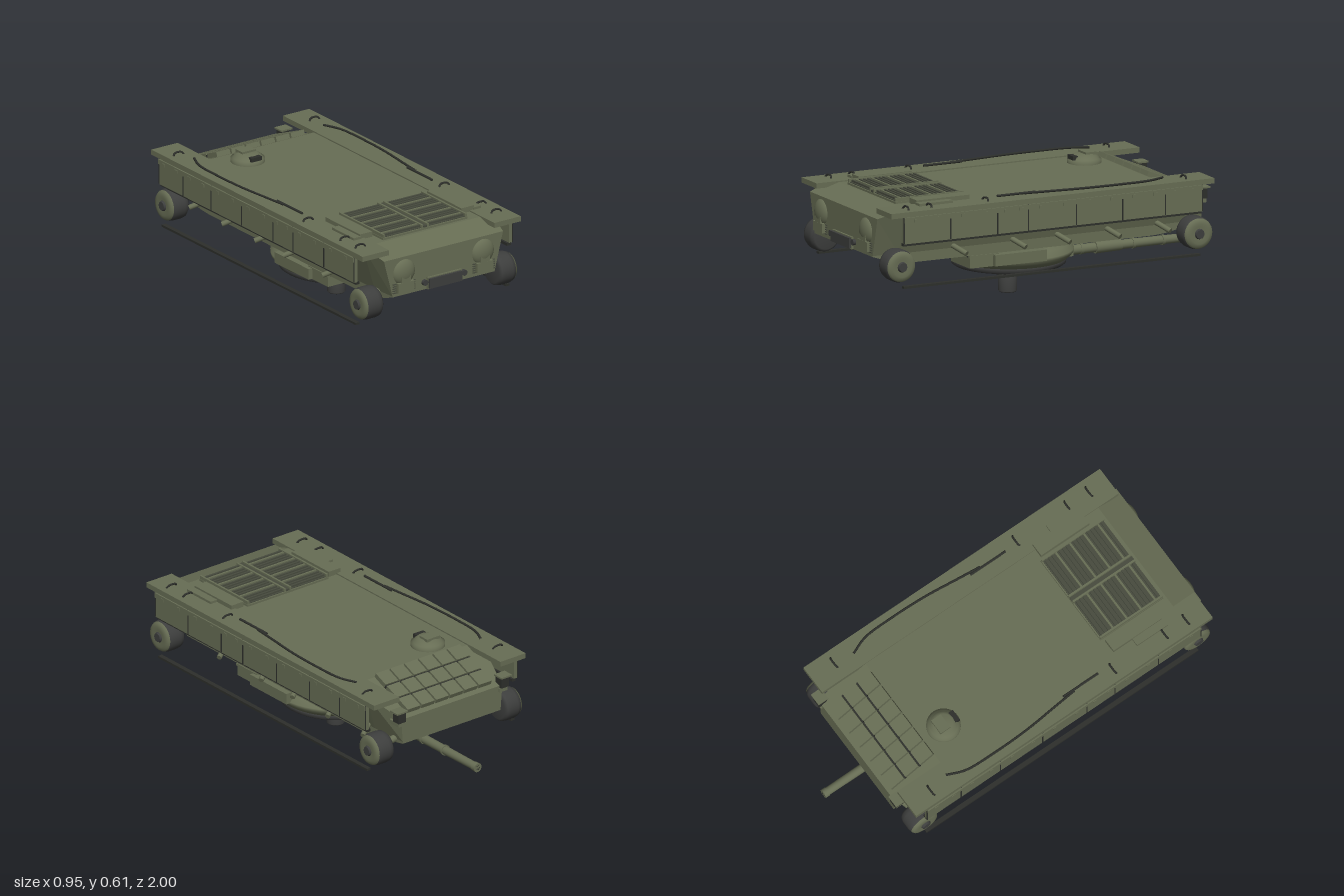
import * as THREE from 'three';

const mat = (name, color, side = THREE.FrontSide) => {
  const m = new THREE.MeshStandardMaterial({ color, side });
  m.name = name;
  return m;
};

export function createModel() {
  const olive = mat('olive paint', 0x676d54);
  const rubber = mat('dark rubber', 0x3d3e3d);
  const black = mat('blackened steel', 0x2d2f2b);
  const grey = mat('grille steel', 0x474b3e);
  const root = new THREE.Group();
  root.name = 'armouredVehicle';

  const add = (name, geo, m, x = 0, y = 0, z = 0, parent = root) => {
    const mesh = new THREE.Mesh(geo, m);
    mesh.name = name;
    mesh.position.set(x, y, z);
    parent.add(mesh);
    return mesh;
  };
  // Box given by its limits on each axis
  const box = (name, m, x0, x1, y0, y1, z0, z1, parent = root) =>
    add(name, new THREE.BoxGeometry(Math.abs(x1 - x0), y1 - y0, z1 - z0), m,
      (x0 + x1) / 2, (y0 + y1) / 2, (z0 + z1) / 2, parent);
  const rod = (name, m, a, b, r0, r1 = r0, n = 16) => {
    const p = new THREE.Vector3(...a), d = new THREE.Vector3(...b).sub(p);
    const mesh = add(name, new THREE.CylinderGeometry(r1, r0, d.length(), n), m);
    mesh.position.copy(p).addScaledVector(d, 0.5);
    mesh.quaternion.setFromUnitVectors(new THREE.Vector3(0, 1, 0), d.normalize());
    return mesh;
  };
  const tube = (name, m, pts, r, n = 24) => add(name, new THREE.TubeGeometry(
    new THREE.CatmullRomCurve3(pts.map(p => new THREE.Vector3(...p))), n, r, 6), m);
  const lathe = (pts, n = 48) => new THREE.LatheGeometry(pts.map(p => new THREE.Vector2(...p)), n);

  // Hull: z, then half width and height of the top, knee and bottom edges
  const stations = [
    [0.975, 0.35, 0.51, 0.30, 0.32, 0.30, 0.315],
    [0.84, 0.38, 0.55, 0.31, 0.32, 0.31, 0.27],
    [-0.53, 0.38, 0.55, 0.31, 0.32, 0.31, 0.27],
    [-0.60, 0.37, 0.52, 0.31, 0.32, 0.31, 0.275],
    [-0.80, 0.31, 0.44, 0.30, 0.32, 0.30, 0.31],
  ].map(([z, wt, yt, wm, ym, wb, yb]) => [
    [wt, yt, z], [-wt, yt, z], [-wm, ym, z], [-wb, yb, z], [wb, yb, z], [wm, ym, z]]);
  const v = [];
  for (let i = 0; i < stations.length - 1; i++) {
    for (let j = 0; j < 6; j++) {
      const k = (j + 1) % 6, s = stations[i], t = stations[i + 1];
      v.push(...s[j], ...t[j], ...s[k], ...s[k], ...t[j], ...t[k]);
    }
  }
  const first = stations[0], last = stations[stations.length - 1];
  for (let j = 1; j < 5; j++) {
    v.push(...first[0], ...first[j], ...first[j + 1]);
    v.push(...last[0], ...last[j + 1], ...last[j]);
  }
  const hullGeo = new THREE.BufferGeometry();
  hullGeo.setAttribute('position', new THREE.Float32BufferAttribute(v, 3));
  hullGeo.computeVertexNormals();
  add('hull', hullGeo, olive);

  // Front plate fittings
  box('frontPanel', rubber, -0.095, 0.095, 0.32, 0.37, 0.97, 0.997);
  box('frontPanelFrame', olive, -0.1, 0.1, 0.315, 0.375, 0.97, 0.985);

  // Rear glacis tiles, laid on the slope
  const glacis = new THREE.Group();
  glacis.name = 'glacisTiles';
  glacis.position.set(0, 0.505, -0.655);
  glacis.rotation.x = -Math.atan2(0.11, 0.27);
  root.add(glacis);
  for (let i = 0; i < 6; i++) {
    for (let j = 0; j < 3; j++) {
      const x = (i - 2.5) * 0.0875, z = (j - 1) * 0.092;
      box('tile', olive, x - 0.039, x + 0.039, -0.004, 0.02, z - 0.041, z + 0.041, glacis);
    }
  }
  for (const z of [-0.046, 0.046]) box('tileRail', black, -0.26, 0.26, 0, 0.014, z - 0.004, z + 0.004, glacis);

  // Engine grilles
  box('grilleFrame', olive, -0.248, 0.248, 0.54, 0.56, 0.455, 0.825);
  for (const s of [-1, 1]) {
    box('grilleBed', grey, s * 0.015, s * 0.242, 0.55, 0.564, 0.462, 0.818);
    for (let i = 0; i < 17; i++) {
      const z = 0.474 + i * 0.0207;
      box('slat', i % 4 === 3 ? olive : grey, s * 0.02, s * 0.235, 0.555, 0.573, z - 0.005, z + 0.005);
    }
    for (const x of [0.012, 0.236]) box('grilleRim', olive, s * x, s * (x + 0.01), 0.55, 0.577, 0.457, 0.823);
  }
  box('grilleSpine', grey, -0.01, 0.01, 0.55, 0.57, 0.457, 0.823);

  // Roof hatch
  const hx = -0.165, hz = -0.41;
  add('hatchRing', lathe([[0, 0.595], [0.045, 0.595], [0.065, 0.582], [0.07, 0.57], [0.083, 0.567], [0.083, 0.545]].reverse()), olive, hx, 0, hz);
  box('hatchBlock', olive, hx - 0.04, hx + 0.04, 0.59, 0.605, hz - 0.045, hz + 0.012);
  box('hatchHinge', black, hx - 0.03, hx + 0.03, 0.57, 0.59, hz + 0.05, hz + 0.075);

  const seams = [0.89, 0.64, 0.385, 0.22, -0.04, -0.29, -0.52, -0.72];
  for (const s of [-1, 1]) {
    // Fenders and skirts
    box('fender', olive, s * 0.31, s * 0.465, 0.53, 0.556, -0.785, 0.96);
    box('skirt', olive, s * 0.445, s * 0.465, 0.4, 0.535, -0.72, 0.89);
    box('skirtEdge', black, s * 0.434, s * 0.456, 0.388, 0.402, -0.72, 0.89);
    box('skirtRail', olive, s * 0.46, s * 0.472, 0.505, 0.53, -0.72, 0.89);
    seams.forEach((z, i) => {
      box('skirtSeam', black, s * 0.464, s * 0.467, 0.402, 0.53, z - 0.003, z + 0.003);
      if (i === 7) return;
      for (const f of [0.25, 0.75]) {
        const zz = z + (seams[i + 1] - z) * f;
        box('skirtHinge', olive, s * 0.46, s * 0.475, 0.505, 0.52, zz - 0.01, zz + 0.01);
      }
    });
    // Bars under the vehicle
    box('lowerBar', black, s * 0.43, s * 0.453, 0.179, 0.19, -0.715, 0.885);

    // Deck boxes, tow cable and handles
    box('deckBox', olive, s * 0.262, s * 0.335, 0.54, 0.577, 0.47, 0.755);
    box('deckBoxStep', olive, s * 0.33, s * 0.375, 0.54, 0.568, 0.58, 0.76);
    tube('towCable', black, [[s * 0.38, 0.567, -0.55], [s * 0.415, 0.567, -0.46], [s * 0.423, 0.567, -0.3],
      [s * 0.418, 0.567, -0.1], [s * 0.4, 0.567, 0.08], [s * 0.388, 0.567, 0.2]], 0.006);
    rod('towBar', black, [s * 0.382, 0.567, 0.14], [s * 0.382, 0.567, 0.345], 0.006);
    for (const z of [-0.65, 0.42, 0.725, 0.85])
      tube('handle', black, [[s * 0.37, 0.555, z], [s * 0.38, 0.567, z - 0.005], [s * 0.42, 0.567, z - 0.005], [s * 0.43, 0.555, z]], 0.005, 12);

    // Final drive covers, vents and tow bolts
    const dome = add('driveDome', new THREE.SphereGeometry(0.067, 32, 20), olive, s * 0.232, 0.432, 0.965);
    dome.scale.z = 0.5;
    box('driveFoot', olive, s * 0.185, s * 0.28, 0.337, 0.385, 0.95, 0.996);
    box('driveNeck', olive, s * 0.205, s * 0.26, 0.38, 0.415, 0.95, 0.995);
    for (let i = 0; i < 5; i++)
      box('ventSlat', grey, s * 0.17, s * 0.3, 0.333 + i * 0.011, 0.338 + i * 0.011, 0.965, 0.98);
    rod('towBolt', rubber, [s * 0.115, 0.353, 0.96], [s * 0.115, 0.353, 0.99], 0.015);

    // Rear lamps with guards
    box('lamp', black, s * 0.292, s * 0.338, 0.43, 0.482, -0.815, -0.77);
    box('lampBracket', olive, s * 0.285, s * 0.335, 0.41, 0.43, -0.81, -0.74);
    box('lampGuard', olive, s * 0.287, s * 0.352, 0.482, 0.49, -0.822, -0.765);

    // Wheels: dark tread with a painted outer dish
    for (const z of [0.89, -0.715]) {
      const wheel = new THREE.Group();
      wheel.name = 'wheel';
      wheel.position.set(s * 0.34, 0.285, z);
      wheel.rotation.z = -s * Math.PI / 2;
      root.add(wheel);
      add('tyre', lathe([[0, 0], [0.065, 0], [0.077, 0.012], [0.08, 0.03], [0.08, 0.075], [0.074, 0.095], [0.06, 0.102], [0, 0.102]], 32), rubber, 0, 0, 0, wheel);
      add('wheelDish', lathe([[0.075, 0.094], [0.068, 0.104], [0.05, 0.109], [0.035, 0.106], [0, 0.106]], 32), olive, 0, 0, 0, wheel);
      add('hub', new THREE.CylinderGeometry(0.022, 0.028, 0.014, 12), rubber, 0, 0.109, 0, wheel);
      rod('axle', olive, [s * 0.29, 0.325, z - 0.03], [s * 0.36, 0.29, z], 0.018);
    }
    // Suspension stubs
    for (const z of [0.53, 0.21, -0.03, -0.3, -0.57])
      rod('suspensionStub', olive, [s * 0.3, 0.335, z + 0.022], [s * 0.38, 0.3, z - 0.022], 0.013, 0.013, 12);
  }

  // Inverted turret
  const tz = 0.085;
  add('turret', lathe([[0, 0.163], [0.272, 0.163], [0.3, 0.185], [0.312, 0.2], [0.314, 0.215], [0.285, 0.24], [0.235, 0.268], [0.2, 0.287]]), olive, 0, 0, tz);
  add('turretCap', lathe([[0, 0.14], [0.265, 0.14], [0.276, 0.148], [0.278, 0.165], [0.27, 0.175]]), rubber, 0, 0, tz);
  for (const s of [-1, 1]) {
    box('stowageBox', olive, s * 0.115, s * 0.31, 0.207, 0.265, 0.3, 0.455);
    box('stowageLid', olive, s * 0.11, s * 0.315, 0.258, 0.27, 0.3, 0.46);
    box('stowageLatch', black, s * 0.13, s * 0.3, 0.262, 0.267, 0.455, 0.463);
    box('turretCheek', olive, s * 0.25, s * 0.335, 0.21, 0.265, 0.05, 0.33);
  }
  // Gun with bore evacuator
  box('gunMantlet', olive, -0.05, 0.05, 0.148, 0.2, -0.24, -0.1);
  rod('gunSleeve', olive, [0, 0.167, -0.2], [0, 0.167, -0.39], 0.025, 0.023, 24);
  rod('boreEvacuator', olive, [0, 0.167, -0.38], [0, 0.167, -0.52], 0.03, 0.027, 24);
  rod('gunBarrel', olive, [0, 0.167, -0.5], [0, 0.167, -1], 0.023, 0.02, 24);
  rod('muzzleRing', olive, [0, 0.167, -0.975], [0, 0.167, -0.999], 0.023, 0.023, 24);
  rod('gunBore', black, [0, 0.167, -0.99], [0, 0.167, -1], 0.012);
  for (const z of [-0.3, -0.58, -0.74]) rod('barrelBand', olive, [0, 0.167, z], [0, 0.167, z - 0.012], 0.026, 0.026, 24);

  // Post hanging beneath the turret
  box('postMount', olive, -0.068, 0.068, 0.113, 0.142, 0.01, 0.165);
  add('post', lathe([[0, 0], [0.04, 0], [0.045, 0.006], [0.045, 0.115], [0, 0.115]], 32), rubber, 0, 0, 0.09);
  box('postClamp', black, -0.022, 0.022, 0.088, 0.115, 0.12, 0.15);

  return root;
}
